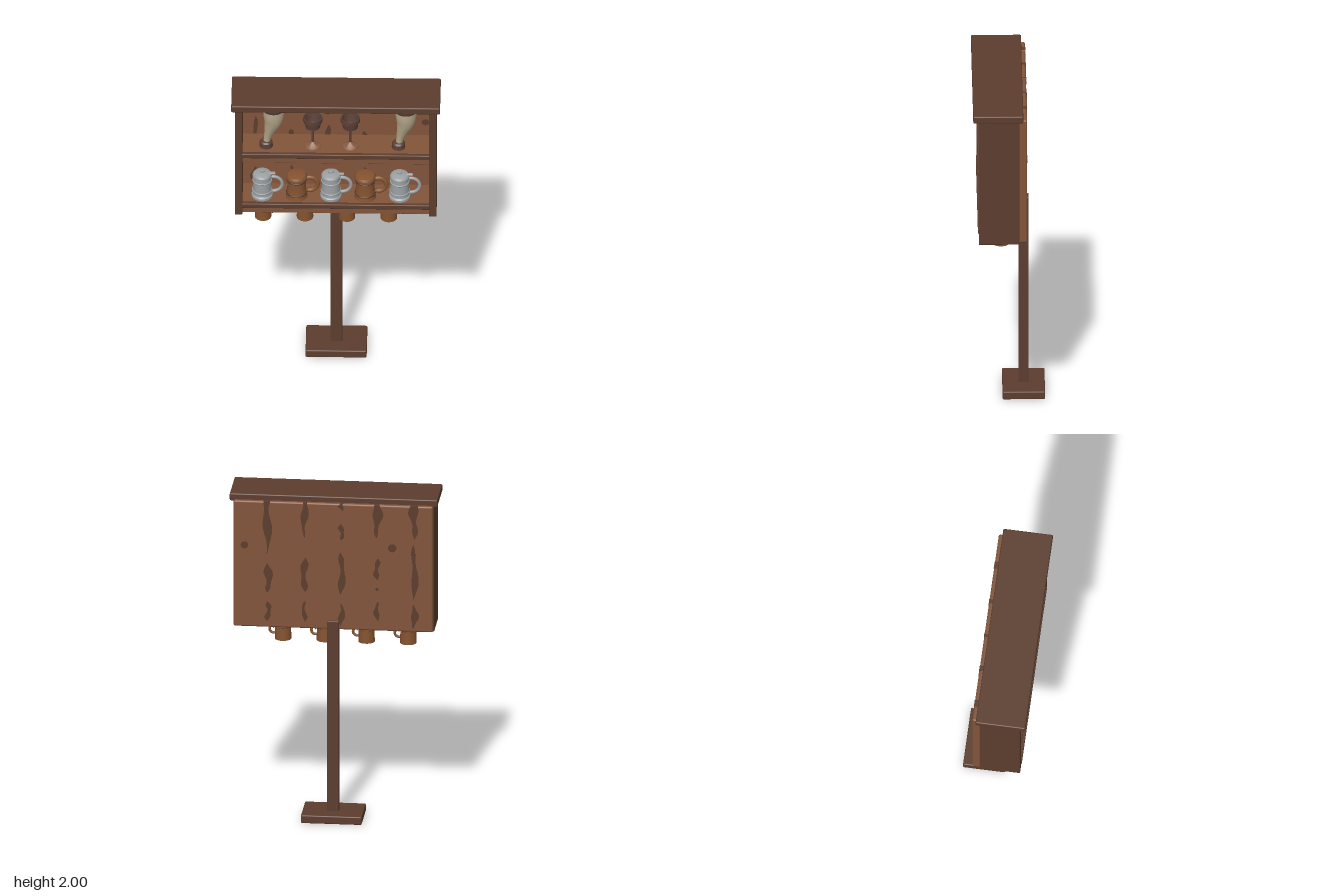
import * as THREE from 'three';
import { toCreasedNormals } from 'three/addons/utils/BufferGeometryUtils.js';
import { RoundedBoxGeometry } from 'three/addons/geometries/RoundedBoxGeometry.js';

const mat = (name, color, side = THREE.FrontSide) => {
  const m = new THREE.MeshStandardMaterial({ color, side });
  m.name = name;
  return m;
};

export function createModel() {
  const darkWood = mat('dark wood', 0x5c3d2e);
  const plankWood = mat('plank wood', 0x81543a);
  const grainWood = mat('wood grain', 0x5b3d2c);
  const mugWood = mat('mug wood', 0x85532f);
  const bandMetal = mat('dark band', 0x4c382f);
  const silver = mat('silver', 0x9ba0a2);
  const hornBone = mat('horn', 0xb3a588);
  const gobletWood = mat('goblet wood', 0x5a4036);
  const footWood = mat('goblet foot', 0x8a5d45);

  const model = new THREE.Group();
  model.name = 'tankardShelfSign';

  const add = (parent, name, geo, material, x = 0, y = 0, z = 0) => {
    const m = new THREE.Mesh(geo, material);
    m.name = name;
    m.position.set(x, y, z);
    parent.add(m);
    return m;
  };
  const group = (name, x, y, z) => {
    const g = new THREE.Group();
    g.name = name;
    g.position.set(x, y, z);
    model.add(g);
    return g;
  };
  // Rounded board given by its limits on each axis
  const board = (name, material, x0, x1, y0, y1, z0, z1, r = 0.007) =>
    add(model, name, new RoundedBoxGeometry(x1 - x0, y1 - y0, z1 - z0, 2, r), material,
      (x0 + x1) / 2, (y0 + y1) / 2, (z0 + z1) / 2);
  const lathe = (pts, n = 24) =>
    toCreasedNormals(new THREE.LatheGeometry(pts.map(p => new THREE.Vector2(...p)), n), 0.6);
  // Ring handle open towards the vessel on its -x side
  const handle = (R, r, arc = Math.PI * 1.3) =>
    new THREE.TorusGeometry(R, r, 10, 24, arc).rotateZ(-arc / 2);
  const band = (R, r) => new THREE.TorusGeometry(R, r, 8, 28).rotateX(Math.PI / 2);

  // Stand
  board('base', darkWood, -0.18, 0.18, 0, 0.05, -0.215, 0.035);
  board('post', darkWood, -0.035, 0.035, 0.04, 1.235, -0.12, -0.06, 0.005);

  // Cabinet
  board('roof', darkWood, -0.615, 0.615, 1.955, 2, -0.082, 0.213);
  for (const s of [-1, 1]) {
    board(s > 0 ? 'leftSide' : 'rightSide', darkWood, s * 0.572 - 0.022, s * 0.572 + 0.022, 1.17, 1.96, -0.06, 0.18, 0.004);
  }
  board('backPanel', plankWood, -0.59, 0.59, 1.18, 1.965, -0.105, -0.058, 0.01);
  for (const [name, y] of [['upper', 1.555], ['lower', 1.185]]) {
    board(name + 'Shelf', plankWood, -0.555, 0.555, y, y + 0.038, -0.062, 0.176, 0.004);
    board(name + 'ShelfLip', darkWood, -0.555, 0.555, y + 0.038, y + 0.07, 0.16, 0.185, 0.005);
  }

  // Wavy grain streaks running right through the back panel: x, top, bottom, half width
  const streaks = [
    [-0.48, 1.966, 1.76, 0.03], [-0.48, 1.72, 1.38, 0.022], [-0.48, 1.35, 1.2, 0.024],
    [-0.26, 1.966, 1.76, 0.032], [-0.26, 1.63, 1.5, 0.02], [-0.26, 1.36, 1.24, 0.018],
    [-0.05, 1.966, 1.92, 0.018], [-0.05, 1.84, 1.74, 0.018], [-0.05, 1.66, 1.4, 0.024], [-0.05, 1.34, 1.2, 0.02],
    [0.17, 1.966, 1.75, 0.024], [0.17, 1.62, 1.41, 0.026], [0.17, 1.35, 1.22, 0.015],
    [0.39, 1.966, 1.64, 0.03], [0.385, 1.58, 1.4, 0.028], [0.385, 1.34, 1.22, 0.02],
  ];
  streaks.forEach(([x, top, bottom, w], i) => {
    const right = [], left = [], n = 14;
    for (let k = 0; k <= n; k++) {
      const t = k / n, y = top + (bottom - top) * t;
      const cap = top > 1.96 ? 1 - t ** 4 : 1 - Math.abs(2 * t - 1) ** 4;
      const hw = w * Math.max(0.1, cap) * (0.72 + 0.28 * Math.sin(t * 9 + i * 1.7));
      const drift = 0.006 * Math.sin(t * 6 + i);
      right.push(new THREE.Vector2(x + drift + hw, y));
      left.unshift(new THREE.Vector2(x + drift - hw, y));
    }
    const geo = new THREE.ExtrudeGeometry(new THREE.Shape([...right, ...left]), { depth: 0.051, bevelEnabled: false });
    add(model, 'grainStreak', geo, grainWood, 0, 0, -0.107);
  });
  for (const [x, y, r] of [[-0.35, 1.7, 0.025], [0.525, 1.69, 0.022], [-0.26, 1.44, 0.01]]) {
    add(model, 'grainKnot', new THREE.CylinderGeometry(r, r, 0.051, 16).rotateX(Math.PI / 2), grainWood, x, y, -0.0815);
  }

  // Lidded silver tankards
  for (const x of [-0.435, -0.03, 0.375]) {
    const g = group('silverTankard', x, 1.223, 0.055);
    add(g, 'body', lathe([[0, 0], [0.063, 0], [0.063, 0.014], [0.056, 0.022], [0.052, 0.14], [0.057, 0.142],
      [0.057, 0.155], [0.05, 0.165], [0.03, 0.172], [0.014, 0.174], [0.014, 0.184], [0, 0.187]]), silver);
    for (const [y, r] of [[0.045, 0.056], [0.115, 0.054]]) add(g, 'hoop', band(r, 0.005), silver, 0, y);
    add(g, 'handle', handle(0.052, 0.01), silver, 0.066, 0.085);
    add(g, 'thumbRest', new RoundedBoxGeometry(0.04, 0.012, 0.018, 2, 0.004), silver, 0.058, 0.163);
  }

  // Lidded wooden tankards
  for (const x of [-0.232, 0.172]) {
    const g = group('woodenTankard', x, 1.223, 0.055);
    add(g, 'body', lathe([[0, 0], [0.064, 0], [0.06, 0.02], [0.054, 0.08], [0.056, 0.13], [0.062, 0.134],
      [0.062, 0.145], [0.054, 0.158], [0.03, 0.163], [0, 0.164]]), mugWood);
    for (const [y, r] of [[0.03, 0.058], [0.122, 0.056]]) add(g, 'hoop', band(r, 0.005), bandMetal, 0, y);
    add(g, 'handle', handle(0.047, 0.013), mugWood, 0.077, 0.088);
  }

  // Goblets
  for (const x of [-0.137, 0.084]) {
    const g = group('goblet', x, 1.593, 0.055);
    add(g, 'foot', lathe([[0, 0], [0.047, 0], [0.045, 0.006], [0.02, 0.02], [0.007, 0.034], [0, 0.034]]), footWood);
    add(g, 'stem', new THREE.CylinderGeometry(0.007, 0.007, 0.11, 12), gobletWood, 0, 0.08);
    add(g, 'cup', lathe([[0, 0.118], [0.012, 0.122], [0.044, 0.145], [0.05, 0.185], [0.057, 0.188], [0.057, 0.213],
      [0.05, 0.213], [0.046, 0.185], [0.038, 0.15], [0, 0.135]]), gobletWood);
  }

  // Drinking horns: a tube along a curve whose rings grow towards the mouth
  for (const x of [-0.37, 0.41]) {
    const g = group('drinkingHorn', x, 1.593, 0.055);
    const path = new THREE.CatmullRomCurve3([[-0.042, 0.01], [-0.032, 0.07], [-0.016, 0.13], [0, 0.19], [0.002, 0.285]]
      .map(([px, py]) => new THREE.Vector3(px, py, 0)));
    const rows = 20, sides = 20;
    const geo = new THREE.TubeGeometry(path, rows, 1, sides, false);
    const p = geo.attributes.position, v = new THREE.Vector3();
    for (let i = 0; i < p.count; i++) {
      const t = Math.floor(i / (sides + 1)) / rows, c = path.getPointAt(t);
      const r = 0.02 + 0.041 * THREE.MathUtils.smoothstep(t, 0.1, 0.85);
      v.fromBufferAttribute(p, i).sub(c).multiplyScalar(r).add(c);
      p.setXYZ(i, v.x, v.y, v.z);
    }
    geo.computeVertexNormals();
    add(g, 'horn', geo, hornBone);
    add(g, 'mouthRim', lathe([[0.057, 0.274], [0.065, 0.274], [0.065, 0.288], [0.055, 0.288], [0.052, 0.262], [0, 0.255]]), bandMetal, 0.002);
    add(g, 'stand', lathe([[0, 0], [0.04, 0], [0.038, 0.03], [0.03, 0.04], [0, 0.04]]), gobletWood, -0.042);
  }

  // Open cups hanging on hooks under the lower shelf
  const hookPath = new THREE.CatmullRomCurve3([[0.125, 0], [0.1, 0], [0.088, 0.008], [0.074, 0.008], [0.068, -0.008], [0.076, -0.02]]
    .map(([py, pz]) => new THREE.Vector3(0.055, py, pz)));
  for (const x of [-0.43, -0.183, 0.064, 0.311]) {
    const g = group('hangingCup', x, 1.06, 0.047);
    add(g, 'body', lathe([[0, 0], [0.049, 0], [0.047, 0.075], [0.051, 0.078], [0.051, 0.09], [0.042, 0.09],
      [0.042, 0.012], [0, 0.012]]), mugWood);
    add(g, 'handle', handle(0.025, 0.008), mugWood, 0.055, 0.059);
    add(g, 'hook', new THREE.TubeGeometry(hookPath, 20, 0.003, 6), silver);
  }

  return model;
}
